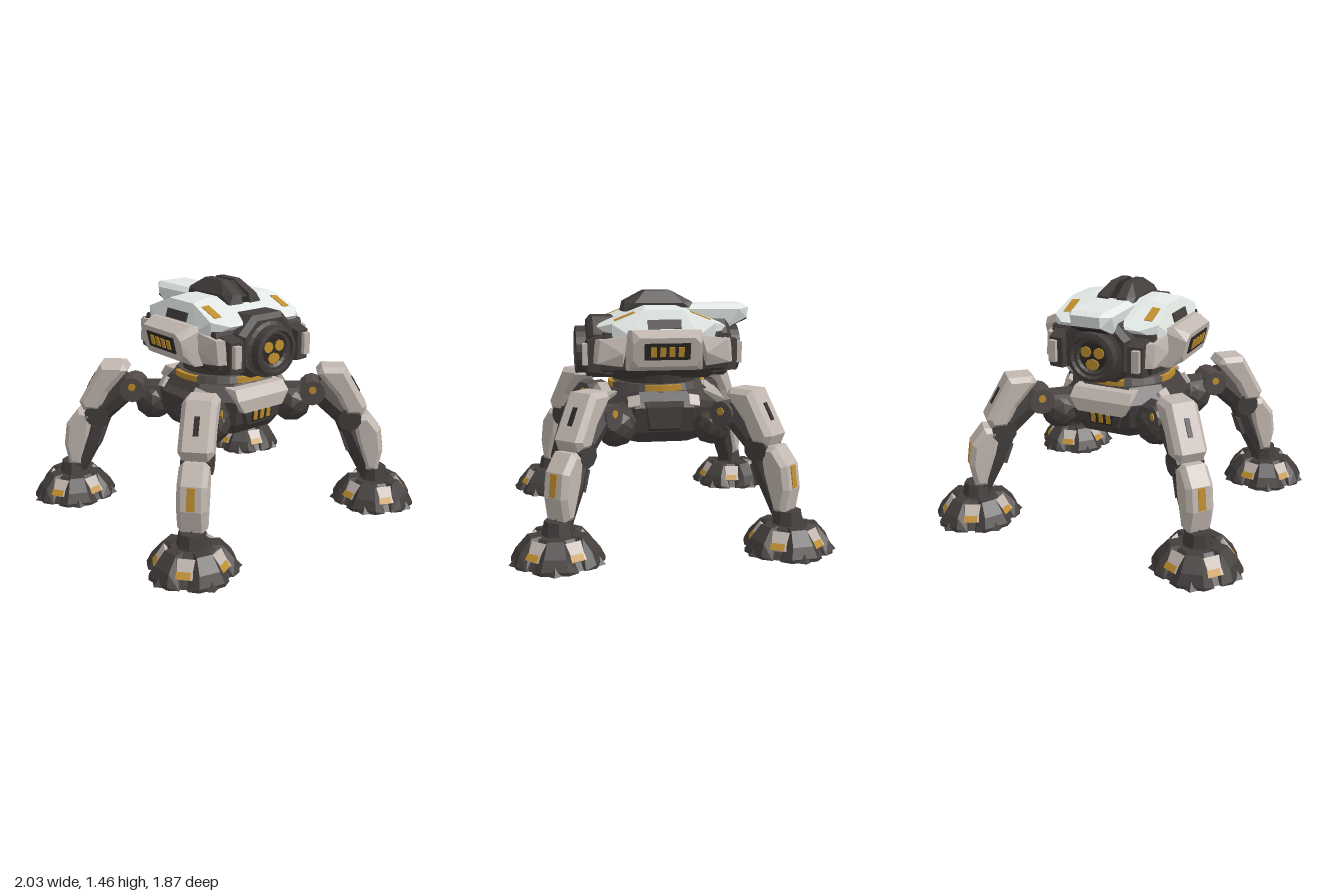
import * as THREE from 'three';
import { ConvexGeometry } from 'three/addons/geometries/ConvexGeometry.js';

const material = (name, color) => {
  const m = new THREE.MeshStandardMaterial({ color });
  m.name = name;
  return m;
};

export function createModel() {
  const white = material('pale armour', 0xe4eae7);
  const warm = material('warm grey armour', 0xc2b7b0);
  const dark = material('dark frame', 0x433e3c);
  const black = material('black recess', 0x2b2827);
  const grey = material('joint grey', 0x524b49);
  const orange = material('orange marking', 0xbf8e2d);

  const model = new THREE.Group();
  model.name = 'quadrupedWalker';

  function add(parent, name, geo, mat, pos = [0, 0, 0], rot = [0, 0, 0]) {
    const m = new THREE.Mesh(geo, mat);
    m.name = name;
    m.position.set(...pos);
    m.rotation.set(...rot);
    parent.add(m);
    return m;
  }
  function group(parent, name, pos = [0, 0, 0], rot = [0, 0, 0]) {
    const g = new THREE.Group();
    g.name = name;
    g.position.set(...pos);
    g.rotation.set(...rot);
    parent.add(g);
    return g;
  }
  const flat = (geo) => {
    const g = geo.index ? geo.toNonIndexed() : geo;
    g.computeVertexNormals();
    return g;
  };
  const box = (x, y, z) => new THREE.BoxGeometry(x, y, z);
  const cyl = (rt, rb, h, n) => flat(new THREE.CylinderGeometry(rt, rb, h, n));
  // Faceted solid around points; mx and mz also mirror them across x and z
  function hull(points, mx = false, mz = false) {
    const out = [];
    for (const [x, y, z] of points)
      for (const sx of mx ? [1, -1] : [1])
        for (const sz of mz ? [1, -1] : [1]) out.push(new THREE.Vector3(x * sx, y, z * sz));
    return new ConvexGeometry(out);
  }
  // Side profile in the leg plane, bevelled and centred on z = 0
  function slab(points, half, bevel) {
    const shape = new THREE.Shape(points.map((p) => new THREE.Vector2(...p)));
    const g = new THREE.ExtrudeGeometry(shape, {
      depth: 2 * (half - bevel), bevelEnabled: true, bevelSegments: 1,
      bevelSize: bevel, bevelThickness: bevel, bevelOffset: -bevel,
    });
    return g.translate(0, 0, bevel - half);
  }
  // Faceted strut between two points in the leg plane
  function strut(parent, name, a, b, ra, rb, mat) {
    const dx = b[0] - a[0], dy = b[1] - a[1];
    add(parent, name, cyl(rb, ra, Math.hypot(dx, dy), 8), mat,
      [(a[0] + b[0]) / 2, (a[1] + b[1]) / 2, 0], [0, 0, Math.atan2(-dx, dy)]);
  }

  // Pelvis: stacked octagons
  const octagon = (a, y) => [[a, y, a * 0.5], [a * 0.5, y, a]];
  const pelvis = group(model, 'pelvis');
  add(pelvis, 'pelvisBlock', hull([...octagon(0.29, 0.55), ...octagon(0.34, 0.62),
    ...octagon(0.36, 0.77), ...octagon(0.29, 0.86)], true, true), dark);
  for (const turn of [0, Math.PI]) {
    const end = group(pelvis, 'pelvisEnd', [0, 0, 0], [0, turn, 0]);
    add(end, 'pelvisPlate', hull([[0.2, 0.85, 0.27], [0.19, 0.85, 0.36], [0.2, 0.79, 0.4],
      [0.15, 0.71, 0.4], [0.15, 0.7, 0.3]], true), warm);
    add(end, 'ventFrame', hull([[0.14, 0.74, 0.3], [0.14, 0.74, 0.385], [0.1, 0.62, 0.37], [0.11, 0.6, 0.3]], true), dark);
    add(end, 'ventPanel', box(0.15, 0.075, 0.006), black, [0, 0.672, 0.38], [0.13, 0, 0]);
    for (const x of [-0.05, 0, 0.05])
      add(end, 'pelvisVent', box(0.028, 0.058, 0.008), orange, [x, 0.675, 0.384], [0.13, 0, 0]);
    const side = group(pelvis, 'pelvisSide', [0, 0, 0], [0, turn + Math.PI / 2, 0]);
    add(side, 'sideBlock', hull([[0.13, 0.82, 0.3], [0.11, 0.78, 0.39], [0.09, 0.65, 0.39], [0.1, 0.61, 0.3]], true), dark);
    for (const x of [-0.18, 0.18])
      add(side, 'pelvisChip', box(0.07, 0.07, 0.03), warm, [x, 0.805, 0.325], [-0.6, Math.sign(x) * 0.35, 0]);
  }

  // Waist ring with four orange arcs
  add(model, 'waistRing', cyl(0.28, 0.3, 0.05, 24), grey, [0, 0.875, 0]);
  add(model, 'waist', cyl(0.27, 0.25, 0.12, 16), dark, [0, 0.94, 0]);
  for (let i = 0; i < 4; i++)
    add(model, 'waistMark', new THREE.CylinderGeometry(0.306, 0.306, 0.035, 8, 1, false,
      i * Math.PI / 2 - 0.37, 0.74), orange, [0, 0.88, 0]);

  // Torso core
  const torso = group(model, 'torso');
  add(torso, 'torsoCore', hull([[0.22, 0.93, 0.28], [0.33, 1.0, 0.38], [0.34, 1.06, 0.4],
    [0.33, 1.22, 0.35]], true, true), dark);

  // Top shell: four sloping corner faces around a raised deck
  const slope = (x, z) => [x, 1.31 - 0.08 * (x - 0.27) - 0.4 * (z - 0.23), z];
  add(torso, 'topShell', hull([slope(0.2, 0.1), slope(0.315, 0.12), slope(0.335, 0.31),
    slope(0.25, 0.39), slope(0.13, 0.37), [0.365, 1.2, 0.2], [0.33, 1.19, 0.31]], true, true), white);
  const up = new THREE.Vector3(0, 1, 0);
  for (const sx of [1, -1]) for (const sz of [1, -1]) {
    const n = new THREE.Vector3(0.08 * sx, 1, 0.4 * sz).normalize();
    const mark = add(torso, 'shellMark', box(0.05, 0.006, 0.13), orange, [0.265 * sx, 1.3115, 0.23 * sz]);
    mark.quaternion.setFromUnitVectors(up, n);

    // Corner cheeks
    const cheek = group(torso, 'cheek');
    cheek.scale.set(sx, 1, sz);
    add(cheek, 'cheekPlate', hull([[0.3, 1.2, 0.2], [0.36, 1.2, 0.22], [0.38, 1.1, 0.25], [0.35, 1.02, 0.25],
      [0.35, 1.18, 0.38], [0.35, 1.04, 0.4], [0.28, 1.18, 0.42], [0.28, 1.04, 0.43]]), warm);
    add(cheek, 'cheekPod', hull([[0.2, 1.2, 0.35], [0.31, 1.2, 0.35], [0.3, 1.17, 0.45], [0.21, 1.17, 0.46],
      [0.21, 0.99, 0.46], [0.3, 0.99, 0.45], [0.31, 0.97, 0.3], [0.2, 0.97, 0.3]]), dark);
    add(cheek, 'podTip', box(0.045, 0.13, 0.035), warm, [0.268, 1.09, 0.465]);
  }

  // Side pods with vents
  for (const turn of [0, Math.PI]) {
    const pod = group(torso, 'sidePod', [0, 0, 0], [0, turn, 0]);
    add(pod, 'podBody', hull([[0.3, 1.23, 0.24], [0.39, 1.24, 0.2], [0.48, 1.2, 0.16], [0.47, 1.16, 0.2],
      [0.45, 1.075, 0.2], [0.44, 1.03, 0.17], [0.38, 1.0, 0.22], [0.3, 1.0, 0.24]], false, true), warm);
    const vent = group(pod, 'podVent', [0.463, 1.12, 0], [0, 0, -0.23]);
    add(vent, 'ventPanel', box(0.008, 0.1, 0.27), black);
    for (let i = 0; i < 4; i++)
      add(vent, 'ventSlot', box(0.008, 0.058, 0.034), orange, [0.006, 0, (i - 1.5) * 0.054]);
    add(pod, 'shellVent', box(0.009, 0.055, 0.2), dark, [0.348, 1.268, 0], [0, 0, 0.3]);
  }

  // Round sensors at both ends
  const ringProfile = [[0.17, 0.3], [0.17, 0.44], [0.148, 0.45], [0.148, 0.51], [0.125, 0.515],
    [0.118, 0.49], [0.1, 0.49], [0.085, 0.475], [0, 0.475]].map((p) => new THREE.Vector2(...p));
  for (const turn of [0, Math.PI]) {
    const eye = group(torso, 'sensor', [0, 0, 0], [0, turn, 0]);
    const outline = [[0.11, 1.3], [0.21, 1.2], [0.21, 1.0], [0.12, 0.93]];
    add(eye, 'sensorHood', hull(outline.flatMap(([x, y]) => [[x, y, 0.25], [x, y, 0.41],
      [x * 0.86, 1.09 + (y - 1.09) * 0.86, 0.44]]), true), dark);
    add(eye, 'sensorRing', flat(new THREE.LatheGeometry(ringProfile, 20)), dark, [0, 1.09, 0], [Math.PI / 2, 0, 0]);
    add(eye, 'lens', new THREE.CircleGeometry(0.085, 20), black, [0, 1.09, 0.478]);
    for (const [x, y, width] of [[-0.042, 1.115, 1], [0.042, 1.115, 1], [0, 1.043, 1.3]]) {
      const spot = add(eye, 'lensSpot', cyl(0.034, 0.034, 0.008, 8), orange, [x, y, 0.482], [Math.PI / 2, 0, 0]);
      spot.scale.x = width;
    }
  }

  // Tail fin and its dark underside
  add(torso, 'tailFin', hull([[0.1, 1.372, -0.1], [0.1, 1.372, -0.53], [0.13, 1.345, -0.1], [0.135, 1.34, -0.5],
    [0.09, 1.35, -0.57], [0.09, 1.285, -0.56], [0.12, 1.22, -0.42], [0.12, 1.24, -0.15]], true), white);
  add(torso, 'finUnderside', box(0.19, 0.008, 0.15), black, [0, 1.25, -0.49], [0.43, 0, 0]);

  // Spine on the roof: two rails and a narrow sunken centre
  for (const sx of [1, -1])
    add(torso, 'spineRail', hull([[0.02, 1.455, 0.08], [0.07, 1.455, 0.08], [0.03, 1.385, 0.215], [0.09, 1.385, 0.21],
      [0.125, 1.38, 0.15], [0.03, 1.33, 0.23], [0.12, 1.33, 0.22]].map(([x, y, z]) => [x * sx, y, z]), false, true), dark);
  add(torso, 'spineCentre', hull([[0.035, 1.447, 0.08], [0.035, 1.365, 0.2], [0.035, 1.33, 0.2]], true, true), black);

  // Four legs, each drawn in its own plane with local x pointing outward
  function buildLeg(parent) {
    strut(parent, 'hipLink', [0.3, 0.68], [0.56, 0.72], 0.12, 0.08, dark);
    add(parent, 'hipBall', flat(new THREE.IcosahedronGeometry(0.125, 1)), dark, [0.44, 0.66, 0]);
    add(parent, 'hipJoint', cyl(0.08, 0.08, 0.18, 12), grey, [0.57, 0.745, 0], [Math.PI / 2, 0, 0]);
    for (const s of [1, -1])
      add(parent, 'hipCap', cyl(0.024, 0.024, 0.008, 8), orange, [0.57, 0.765, 0.093 * s], [Math.PI / 2, 0, 0]);
    strut(parent, 'thighFrame', [0.58, 0.78], [0.8, 0.58], 0.085, 0.085, dark);
    add(parent, 'kneeJoint', cyl(0.075, 0.075, 0.17, 10), dark, [0.81, 0.57, 0], [Math.PI / 2, 0, 0]);
    strut(parent, 'calfFrame', [0.79, 0.56], [0.87, 0.38], 0.07, 0.075, dark);
    strut(parent, 'shinFrame', [0.86, 0.4], [0.98, 0.15], 0.075, 0.06, dark);
    add(parent, 'calfPiston', box(0.07, 0.13, 0.1), grey, [0.81, 0.42, 0], [0, 0, 0.35]);
    add(parent, 'thighShell', slab([[0.785, 0.6], [0.89, 0.6], [0.915, 0.66], [0.77, 0.91],
      [0.625, 0.91], [0.595, 0.87], [0.725, 0.72]], 0.1, 0.03), warm);
    add(parent, 'thighSlot', box(0.008, 0.11, 0.03), black, [0.844, 0.786, 0], [0, 0, 0.525]);
    add(parent, 'shinShell', slab([[0.93, 0.22], [1.005, 0.22], [1.03, 0.36], [1.01, 0.5],
      [0.93, 0.6], [0.83, 0.59], [0.86, 0.42]], 0.085, 0.028), warm);
    add(parent, 'shinMark', box(0.008, 0.13, 0.045), orange, [1.021, 0.43, 0], [0, 0, 0.142]);

    // Foot: five dark toes with armour plates between them
    const foot = group(parent, 'foot', [0.99, 0, 0]);
    add(foot, 'ankle', cyl(0.075, 0.095, 0.1, 8), dark, [0, 0.18, 0]);
    add(foot, 'footCore', cyl(0.15, 0.28, 0.15, 5), dark, [0, 0.075, 0], [0, -Math.PI / 10, 0]);
    for (let i = 0; i < 5; i++) {
      const side = group(foot, 'footSide', [0, 0, 0], [0, i * Math.PI * 0.4, 0]);
      add(side, 'footPlate', box(0.03, 0.11, 0.135), warm, [0.174, 0.09, 0], [0, 0, 0.62]);
      add(side, 'footMark', box(0.008, 0.04, 0.085), orange, [0.204, 0.069, 0.01], [0, 0, 0.62]);
      const toe = group(foot, 'footToe', [0, 0, 0], [0, (i + 0.5) * Math.PI * 0.4, 0]);
      add(toe, 'toe', hull([[0.1, 0.16, 0.04], [0.16, 0.155, 0.045], [0.225, 0.08, 0.06], [0.252, 0.02, 0.075],
        [0.252, 0, 0.075], [0.21, 0, 0.125], [0.1, 0, 0.08]], false, true), dark);
    }
  }
  for (const x of [0.74, -0.74]) for (const z of [0.66, -0.66])
    buildLeg(group(model, (z > 0 ? 'front' : 'back') + (x > 0 ? 'Left' : 'Right') + 'Leg',
      [0, 0, 0], [0, Math.atan2(-z, x), 0]));

  return model;
}
